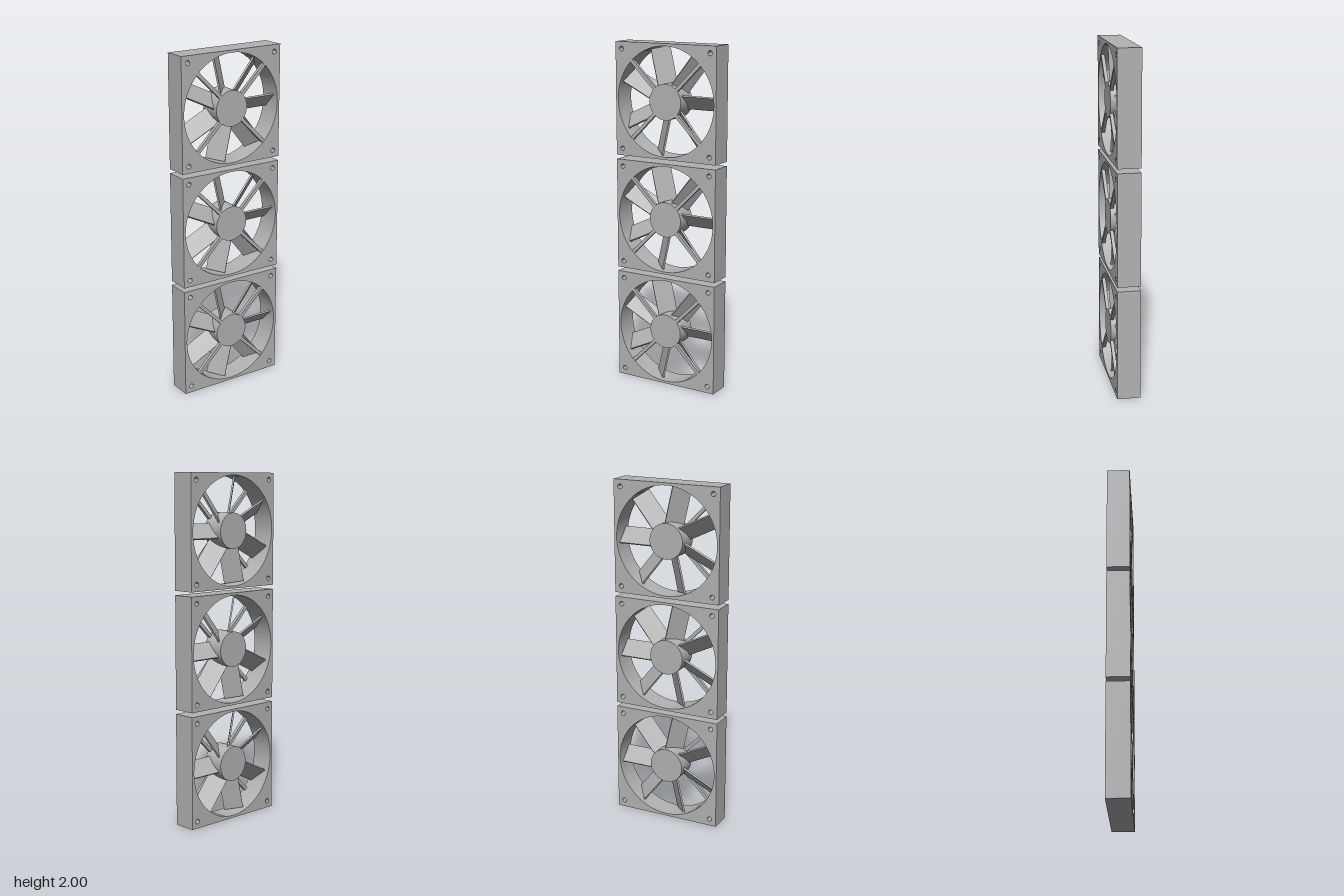
import * as THREE from 'three';
import { toCreasedNormals } from 'three/addons/utils/BufferGeometryUtils.js';

const SIZE = 0.65, DEPTH = 0.134, BORE = 0.311, HUB = 0.102;

// Square frame with a round bore and four corner screw holes
function frameGeometry() {
  const h = SIZE / 2;
  const shape = new THREE.Shape();
  shape.moveTo(-h, -h).lineTo(h, -h).lineTo(h, h).lineTo(-h, h).closePath();
  const hole = (x, y, r) => shape.holes.push(new THREE.Path().absarc(x, y, r, 0, Math.PI * 2, true));
  hole(0, 0, BORE);
  for (const x of [-0.285, 0.285]) for (const y of [-0.285, 0.285]) hole(x, y, 0.014);
  const geo = new THREE.ExtrudeGeometry(shape, { depth: DEPTH, bevelEnabled: false, curveSegments: 48 });
  geo.translate(0, 0, -DEPTH / 2);
  return toCreasedNormals(geo, 0.5);
}

export function createModel() {
  const grey = new THREE.MeshStandardMaterial({ color: 0xb2b2b2 });
  grey.name = 'grey';

  const frameGeo = frameGeometry();
  const hubGeo = new THREE.CylinderGeometry(HUB, HUB, DEPTH - 0.004, 64).rotateX(Math.PI / 2);

  // Blade: flat plate pitched 45 degrees about its radial axis
  const bladeGeo = new THREE.BoxGeometry(0.225, 0.113, 0.01).rotateX(Math.PI / 4).translate(0.1925, 0, 0);

  // Strut: slim bar at the front joining the hub to the frame
  const strutGeo = new THREE.BoxGeometry(0.225, 0.02, 0.02).translate(0.2025, 0, 0.055);

  const add = (parent, name, geo, angle = 0) => {
    const mesh = new THREE.Mesh(geo, grey);
    mesh.name = name;
    mesh.rotation.z = angle;
    parent.add(mesh);
  };

  const model = new THREE.Group();
  model.name = 'fanStack';

  // Three identical fans stacked with narrow gaps
  for (let i = 0; i < 3; i++) {
    const fan = new THREE.Group();
    fan.name = `fan${i + 1}`;
    fan.position.y = SIZE / 2 + i * 0.675;
    add(fan, 'frame', frameGeo);
    add(fan, 'hub', hubGeo);
    for (let b = 0; b < 7; b++) add(fan, `blade${b + 1}`, bladeGeo, (b * Math.PI * 2) / 7);
    for (let s = 0; s < 4; s++) add(fan, `strut${s + 1}`, strutGeo, Math.PI / 4 + (s * Math.PI) / 2);
    model.add(fan);
  }
  return model;
}
